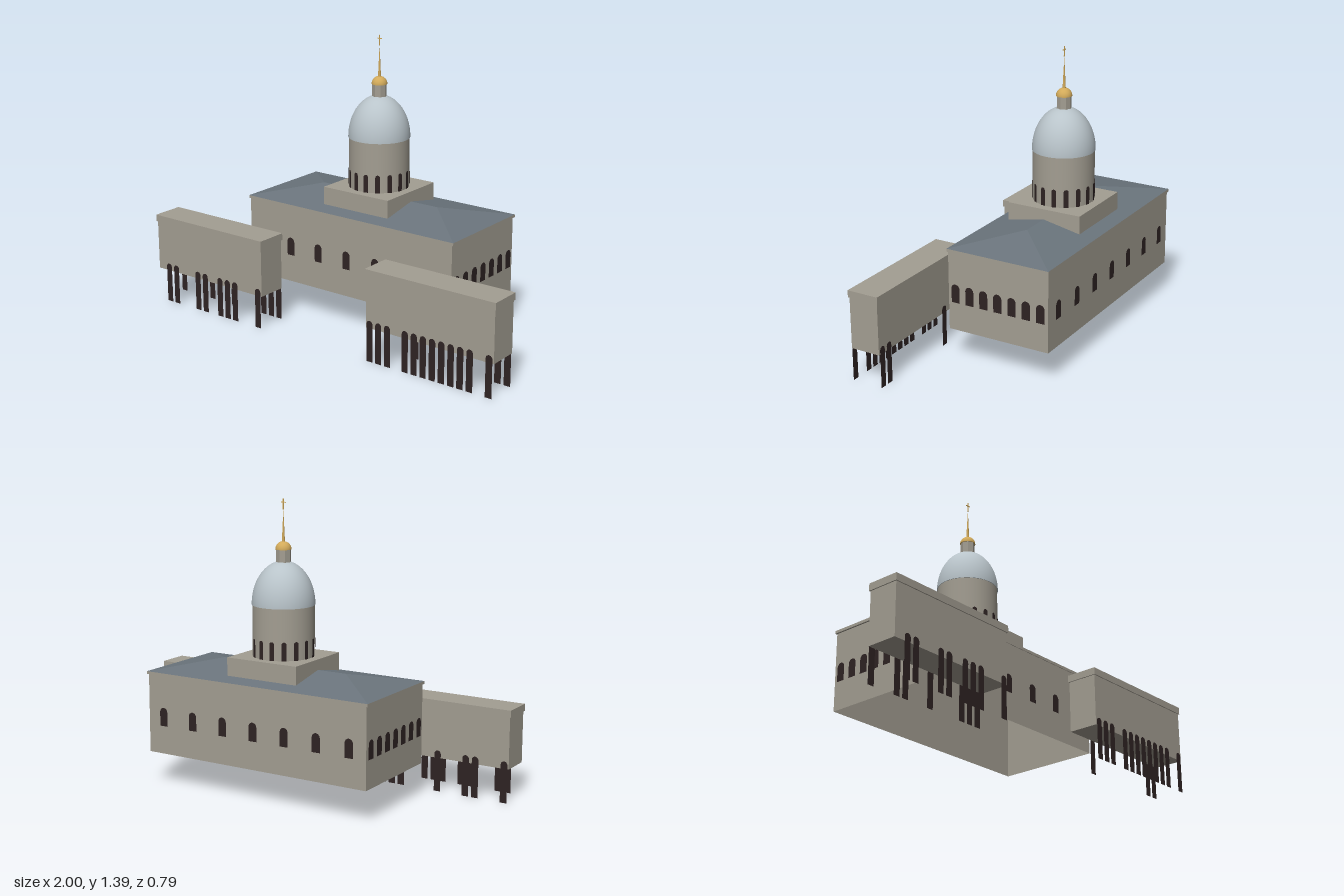
import * as THREE from 'three';

const mat = (name, color, extra = {}) => {
  const m = new THREE.MeshStandardMaterial({ color, ...extra });
  m.name = name;
  return m;
};

export function createModel() {
  const model = new THREE.Group();
  const stone = mat('stone', 0xa39e92, { side: THREE.DoubleSide });
  const slate = mat('slate', 0x6b757d, { side: THREE.DoubleSide });
  const silver = mat('silver', 0xb9c4ca);
  const gold = mat('gold', 0xd2aa5a);
  const dark = mat('darkOpening', 0x2e2323, { side: THREE.DoubleSide });
  const CZ = -0.13; // centre line of the hall and the dome

  const add = (name, geo, material, x = 0, y = 0, z = 0, parent = model) => {
    const m = new THREE.Mesh(geo, material);
    m.name = name;
    m.position.set(x, y, z);
    parent.add(m);
    return m;
  };
  // Box given by its ranges
  const block = (name, material, x0, x1, y0, y1, z0, z1) =>
    add(name, new THREE.BoxGeometry(x1 - x0, y1 - y0, z1 - z0), material,
      (x0 + x1) / 2, (y0 + y1) / 2, (z0 + z1) / 2);
  // Flat round-headed opening standing on its base line
  const archGeo = (w, h) => {
    const r = w / 2, s = new THREE.Shape();
    s.moveTo(-r, 0);
    s.lineTo(r, 0);
    s.lineTo(r, h - r);
    s.absarc(0, h - r, r, 0, Math.PI, false);
    s.closePath();
    return new THREE.ShapeGeometry(s, 6);
  };
  const plate = (name, geo, x, y, z, angle) => {
    add(name, geo, dark, x, y, z).rotation.y = angle;
  };

  // Main hall, open underneath
  const hall = block('hallWalls', stone, -0.6, 0.6, 0.16, 0.545, -0.39, 0.13);
  const faces = Array.from(hall.geometry.index.array);
  faces.splice(18, 6);
  hall.geometry.setIndex(faces);
  hall.geometry.clearGroups();
  block('cornice', stone, -0.608, 0.608, 0.542, 0.556, -0.395, 0.133);

  // Hipped roof
  const X = 0.608, R = 0.34, Y0 = 0.556, Y1 = 0.608, ZF = 0.133, ZB = -0.395;
  const a = [-X, Y0, ZF], b = [X, Y0, ZF], c = [X, Y0, ZB], d = [-X, Y0, ZB];
  const e = [-R, Y1, CZ], f = [R, Y1, CZ];
  const roof = new THREE.BufferGeometry();
  roof.setAttribute('position', new THREE.Float32BufferAttribute(
    [a, b, f, a, f, e, b, c, f, c, d, e, c, e, f, d, a, e].flat(), 3));
  roof.computeVertexNormals();
  add('hippedRoof', roof, slate);

  // Hall windows on all four sides
  const hallWindow = archGeo(0.043, 0.09);
  for (let i = -3; i <= 3; i++) {
    plate('frontWindow', hallWindow, i * 0.171, 0.297, 0.133, 0);
    plate('backWindow', hallWindow, i * 0.171, 0.297, -0.393, Math.PI);
    plate('leftWindow', hallWindow, 0.603, 0.297, CZ + i * 0.074, Math.PI / 2);
    plate('rightWindow', hallWindow, -0.603, 0.297, CZ + i * 0.074, -Math.PI / 2);
  }

  // Plinth, drum and dome
  block('domePlinth', stone, -0.19, 0.19, 0.56, 0.658, -0.32, 0.06);
  add('drum', new THREE.CylinderGeometry(0.146, 0.146, 0.245, 48), stone, 0, 0.78, CZ);
  const drumWindow = archGeo(0.023, 0.088);
  for (let i = 0; i < 16; i++) {
    const t = (i + 0.5) * Math.PI / 8;
    plate('drumWindow', drumWindow, Math.sin(t) * 0.148, 0.658, CZ + Math.cos(t) * 0.148, t);
  }
  const dome = new THREE.SphereGeometry(0.149, 48, 20, 0, Math.PI * 2, 0, Math.PI / 2);
  dome.scale(1, 0.204 / 0.149, 1);
  add('dome', dome, silver, 0, 0.9, CZ);
  add('domeRim', new THREE.CircleGeometry(0.149, 48), silver, 0, 0.9, CZ).rotation.x = Math.PI / 2;

  // Lantern, cupola, spire and cross
  const lantern = new THREE.CylinderGeometry(0.035, 0.035, 0.075, 8).toNonIndexed();
  lantern.computeVertexNormals();
  add('lantern', lantern, stone, 0, 1.123, CZ);
  add('cupola', new THREE.SphereGeometry(0.038, 24, 10, 0, Math.PI * 2, 0, Math.PI / 2),
    gold, 0, 1.157, CZ);
  add('cupolaBase', new THREE.CircleGeometry(0.038, 24), gold, 0, 1.157, CZ).rotation.x = Math.PI / 2;
  add('spire', new THREE.ConeGeometry(0.008, 0.16, 10), gold, 0, 1.265, CZ);
  add('crossPost', new THREE.BoxGeometry(0.004, 0.05, 0.004), gold, 0, 1.367, CZ);
  add('crossArm', new THREE.BoxGeometry(0.024, 0.004, 0.004), gold, 0, 1.375, CZ);

  // Two wings, carried on tall flat arches divided between front and back
  const pillar = archGeo(0.034, 0.2);
  const wings = [
    { name: 'right', x0: -0.995, x1: -0.313, start: -0.973, front: [1, 2, 5, 6, 8, 9, 10, 13], back: [0, 3, 4, 7, 11, 12, 13] },
    { name: 'left', x0: 0.313, x1: 0.995, start: 0.335, front: [0, 1, 2, 4, 5, 6, 7, 8, 9, 10, 11, 13], back: [3, 12, 13] },
  ];
  for (const w of wings) {
    block(w.name + 'WingWalls', stone, w.x0, w.x1, 0.163, 0.415, 0.242, 0.39);
    block(w.name + 'WingCap', stone, w.x0 - 0.005, w.x1 + 0.005, 0.411, 0.445, 0.237, 0.395);
    for (const i of w.front) plate(w.name + 'FrontArch', pillar, w.start + i * 0.049, 0, 0.393, 0);
    for (const i of w.back) plate(w.name + 'BackArch', pillar, w.start + i * 0.049, 0, 0.239, Math.PI);
  }
  return model;
}
